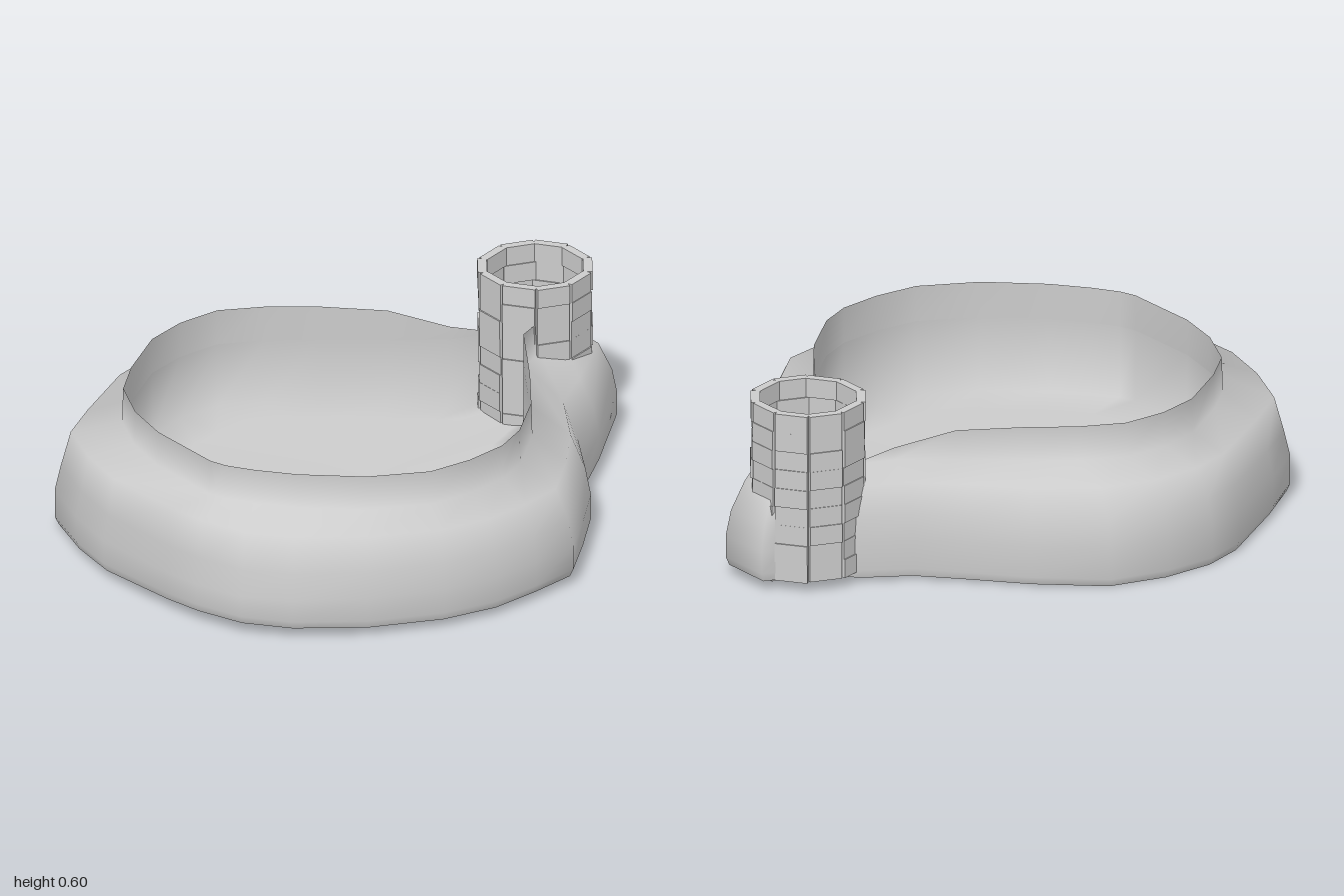
import * as THREE from 'three';

// Plan of the basin: [outer x, outer z, inner x, inner z] at stations around the rim
const PLAN = [
  [-1, 0.06, -0.83, 0.1], [-0.97, -0.24, -0.79, -0.17], [-0.9, -0.43, -0.73, -0.33],
  [-0.8, -0.62, -0.63, -0.48], [-0.63, -0.71, -0.5, -0.57], [-0.33, -0.85, -0.3, -0.67],
  [-0.18, -0.88, -0.15, -0.69], [0, -0.86, 0, -0.67], [0.19, -0.79, 0.13, -0.58],
  [0.36, -0.6, 0.25, -0.46], [0.47, -0.44, 0.4, -0.3], [0.58, -0.29, 0.54, -0.16],
  [0.72, -0.19, 0.66, -0.1], [0.8, -0.08, 0.75, -0.07], [0.92, -0.04, 0.8, -0.03],
  [1, -0.02, 0.82, 0.02], [0.97, 0.17, 0.81, 0.07], [0.7, 0.35, 0.66, 0.12],
  [0.5, 0.47, 0.56, 0.15], [0.36, 0.64, 0.35, 0.38], [0.2, 0.76, 0.2, 0.53],
  [0.04, 0.87, 0.02, 0.65], [-0.13, 0.87, -0.1, 0.69], [-0.3, 0.86, -0.25, 0.69],
  [-0.48, 0.8, -0.4, 0.66], [-0.7, 0.67, -0.57, 0.54], [-0.88, 0.51, -0.71, 0.37],
  [-0.97, 0.37, -0.78, 0.25], [-1, 0.2, -0.82, 0.16],
];

const material = new THREE.MeshStandardMaterial({ color: 0xcccccc });

// Smooth skin through a list of rows; each row maps a plan station to a point
function skin(name, rows) {
  const n = PLAN.length, pos = [], idx = [];
  for (const row of rows) for (const p of PLAN) pos.push(...row(p));
  for (let i = 0; i < rows.length - 1; i++) {
    for (let j = 0; j < n; j++) {
      const k = (j + 1) % n;
      const a = i * n + j, b = i * n + k, c = a + n, d = b + n;
      idx.push(a, c, b, b, c, d);
    }
  }
  const g = new THREE.BufferGeometry();
  g.setAttribute('position', new THREE.Float32BufferAttribute(pos, 3));
  g.setIndex(idx);
  g.computeVertexNormals();
  const m = new THREE.Mesh(g, material);
  m.name = name;
  return m;
}

// Row between the outer outline (t = 0) and the inner one (t = 1)
const bankRow = (t, y) => ([ox, oz, ix, iz]) => [ox + (ix - ox) * t, y, oz + (iz - oz) * t];
// Same, near the ground: lifted toward the front and at both ends
const footRow = (t, y) => (p) => {
  const [x, , z] = bankRow(t, y)(p);
  return [x, y + 0.016 * z + 0.022 * x ** 4, z];
};
// Shoulder of the bank: fuller and higher at the broad end
const shoulder = (p) => {
  const full = Math.max(0, -p[0]) ** 2;
  return bankRow(0.33 - 0.15 * full, 0.322 + 0.03 * full)(p);
};
// Row following the inner outline, scaled toward the centre and tilted to the front
const innerRow = (s, y, tilt = 0) => ([, , ix, iz]) => [ix * s, y - tilt * iz * s, iz * s];
// Rim: upright all round, sinking toward the tip and along its back
const rim = ([, , ix, iz]) => {
  const sink = iz < 0.1 ? 0.105 * THREE.MathUtils.smoothstep(ix, 0.33, 0.68) : 0;
  return [ix, 0.485 - 0.012 * Math.max(0, ix) - sink, iz];
};

export function createModel() {
  const model = new THREE.Group();
  model.name = 'basinWithTower';

  // Rounded outer bank, ending in the outside of the rim
  model.add(skin('bank', [
    footRow(0.06, 0.018), footRow(0, 0.045), bankRow(0, 0.14),
    bankRow(0.09, 0.225), shoulder, bankRow(0.98, 0.37), rim,
  ]));

  // Underside
  model.add(skin('underside', [
    () => [0, 0.024, 0], footRow(0.5, 0.022), footRow(0.06, 0.018),
  ]));

  // Inside of the rim, then the wall and floor of the hollow
  model.add(skin('rimInside', [rim, innerRow(1, 0.365)]));
  model.add(skin('hollow', [
    innerRow(1, 0.365), innerRow(0.995, 0.13, 0.03), innerRow(0.8, 0.12, 0.03),
    innerRow(0, 0.115),
  ]));

  // Round tower of stacked, slightly uneven bricks, its foot a little lower at the front
  const tower = new THREE.Group();
  tower.name = 'brickTower';
  tower.position.set(0.765, 0, 0.003);
  const sides = 10, courses = 9, top = 0.605;
  for (let s = 0; s < sides; s++) {
    const angle = ((s + 0.25) / sides) * Math.PI * 2;
    const height = (top - 0.031 + 0.01 * Math.cos(angle)) / courses;
    const brick = new THREE.BoxGeometry(0.108, height, 0.03);
    const column = new THREE.Group();
    column.name = 'brickColumn';
    column.rotation.y = angle;
    for (let c = 0; c < courses; c++) {
      const m = new THREE.Mesh(brick, material);
      m.name = 'brick';
      m.position.set(0, top - (c + 0.5) * height, 0.166 + 0.003 * Math.sin(s * 2.3 + c * 1.9));
      column.add(m);
    }
    tower.add(column);
  }
  model.add(tower);
  return model;
}
